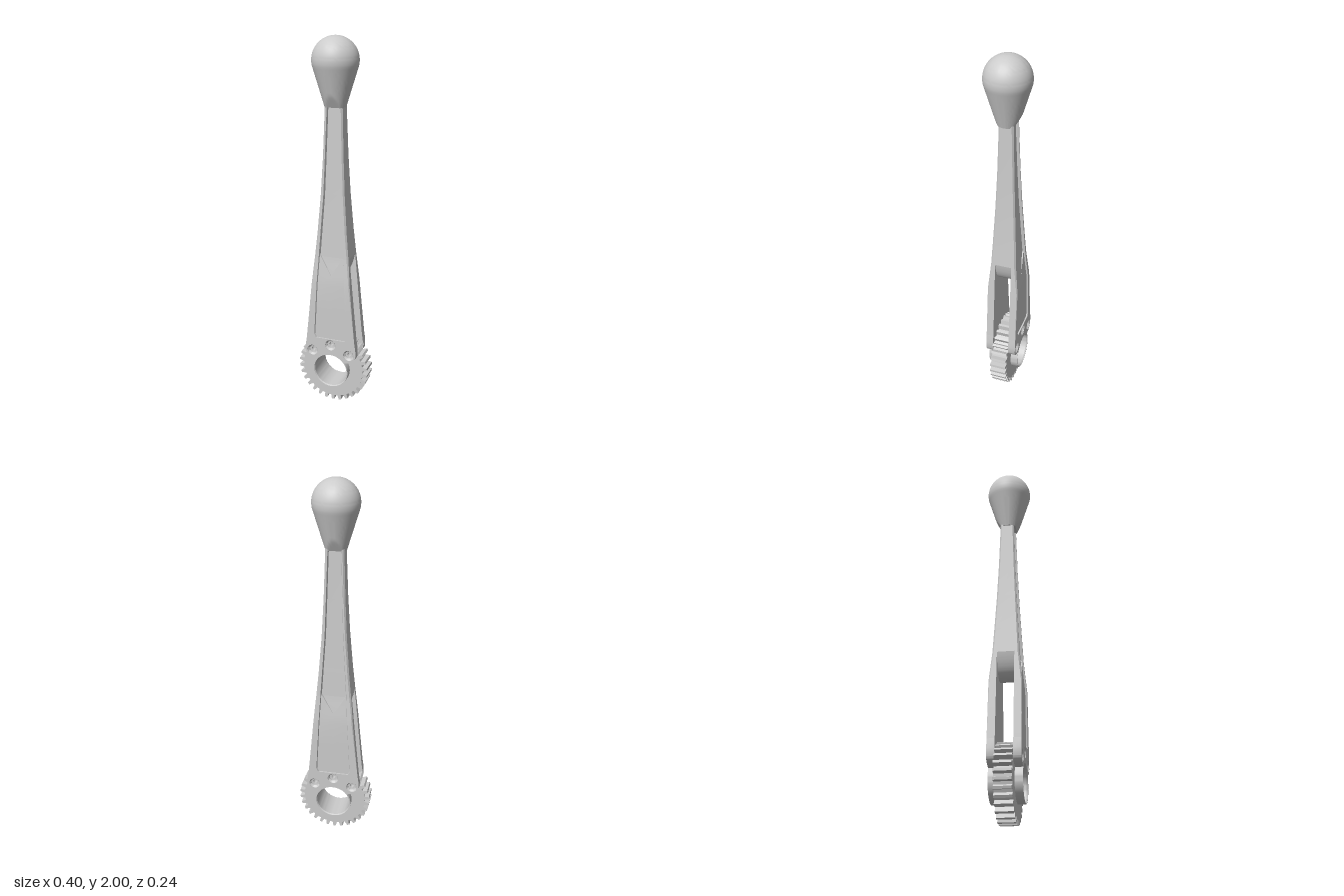
import * as THREE from 'three';
import { toCreasedNormals } from 'three/addons/utils/BufferGeometryUtils.js';

const material = new THREE.MeshStandardMaterial({ color: 0xcccccc, side: THREE.DoubleSide });
const HUB_Y = 0.2, HUB_R = 0.1, INNER = 0.045, OUTER = 0.085;

function add(parent, name, geometry, crease = 0.5) {
  const mesh = new THREE.Mesh(toCreasedNormals(geometry, crease), material);
  mesh.name = name;
  parent.add(mesh);
  return mesh;
}

// Linear interpolation in a table of [y, value]
function at(table, y) {
  let i = 1;
  while (i < table.length - 1 && table[i][0] < y) i++;
  const [y0, v0] = table[i - 1], [y1, v1] = table[i];
  return v0 + (v1 - v0) * THREE.MathUtils.clamp((y - y0) / (y1 - y0), 0, 1);
}

// Arm dimensions along its height
const WIDTH = [[0.39, 0.138], [0.6, 0.118], [0.8, 0.1], [1.0, 0.081], [1.2, 0.066], [1.4, 0.056], [1.68, 0.047]];
const DEPTH = [[0.7, OUTER], [0.86, 0.07], [1.0, 0.063], [1.2, 0.053], [1.4, 0.045], [1.68, 0.037]];
const PANEL = [[0.39, 0.085], [0.41, 0.094], [0.87, 0.07], [1.2, 0.049], [1.68, 0.034]];
const CHAMFER = [[0.39, 0], [0.86, 0.008]];
const FLUTE = [[0.76, 0], [0.87, 1]];

// Front contour at height y: chamfered edges, shallow pocket, deeper flute
function frontContour(y) {
  const w = at(WIDTH, y), d = at(DEPTH, y), p = at(PANEL, y), c = at(CHAMFER, y);
  const q = (p - 0.003) * at(FLUTE, y);
  const half = [[w, d - c], [w - c, d], [p, d], [p - 0.003, d - 0.008], [q, d - 0.008], [q * 0.97, d - 0.014 * (q > 0) - 0.008 * (q === 0)]];
  return [...half.map(([x, z]) => [-x, z]), ...half.reverse()];
}

// Skin a stack of horizontal rings
function loft(heights, ringAt) {
  const positions = [], index = [];
  const n = ringAt(heights[0]).length;
  heights.forEach((y, r) => {
    ringAt(y).forEach(([x, z]) => positions.push(x, y, z));
    if (r === 0) return;
    for (let i = 0; i < n; i++) {
      const a = (r - 1) * n + i, b = (r - 1) * n + (i + 1) % n;
      index.push(a, b, b + n, a, b + n, a + n);
    }
  });
  const g = new THREE.BufferGeometry();
  g.setAttribute('position', new THREE.Float32BufferAttribute(positions, 3));
  g.setIndex(index);
  return g;
}

function extrude(shape, z0, z1) {
  return new THREE.ExtrudeGeometry(shape, { depth: z1 - z0, bevelEnabled: false, curveSegments: 32 }).translate(0, 0, z0);
}

function circle(x, y, r) {
  return new THREE.Path().absarc(x, y, r, 0, Math.PI * 2, true);
}

function lathe(points, segments) {
  return new THREE.LatheGeometry(points.map(([x, y]) => new THREE.Vector2(x, y)), segments);
}

// One fork plate with its pocket, hub pad and screws
function makePlate() {
  const plate = new THREE.Group();
  plate.name = 'forkPlate';
  add(plate, 'plate', loft([0.39, 0.41, 0.55, 0.7, 0.76, 0.82, 0.86], y => {
    const w = at(WIDTH, y);
    return [...frontContour(y), [w, INNER], [-w, INNER]];
  }), 0.2);

  const screws = [[-0.105, 0.31], [0, 0.355], [0.105, 0.31]];
  const a = Math.atan2(0.06, 0.08);
  const pad = new THREE.Shape();
  pad.moveTo(-0.138, 0.39);
  pad.lineTo(-0.145, 0.34);
  pad.lineTo(-0.145, 0.305);
  pad.quadraticCurveTo(-0.14, 0.268, -0.08, 0.26);
  pad.absarc(0, HUB_Y, HUB_R, Math.PI - a, a, true);
  pad.quadraticCurveTo(0.14, 0.268, 0.145, 0.305);
  pad.lineTo(0.145, 0.34);
  pad.lineTo(0.138, 0.39);
  pad.closePath();
  screws.forEach(([x, y]) => pad.holes.push(circle(x, y, 0.03)));
  add(plate, 'hubPad', extrude(pad, INNER, OUTER));

  screws.forEach(([x, y]) => {
    const g = lathe([[0.031, 0.0845], [0.022, 0.074], [0.022, 0.068], [0.011, 0.066], [0.011, INNER]], 24);
    add(plate, 'screw', g.rotateX(Math.PI / 2)).position.set(x, y, 0);
  });
  return plate;
}

function makeGear() {
  const teeth = 30, root = 0.174, tip = 0.2, step = Math.PI * 2 / teeth;
  const shape = new THREE.Shape();
  for (let i = 0; i < teeth; i++) {
    [[-0.3, root], [-0.16, tip], [0.16, tip], [0.3, root]].forEach(([t, r], k) => {
      const angle = (i + t) * step - Math.PI / 2;
      const x = Math.cos(angle) * r, y = HUB_Y + Math.sin(angle) * r;
      if (i + k === 0) shape.moveTo(x, y);
      else shape.lineTo(x, y);
    });
  }
  shape.closePath();
  shape.holes.push(circle(0, HUB_Y, HUB_R));
  return extrude(shape, -INNER, INNER);
}

// Round knob on a cone, its foot trimmed by sloping planes front and back
function makeKnob() {
  const points = [[0, 1.65]];
  for (let i = 0; i <= 16; i++) {
    const t = i / 16;
    points.push([0.055 + 0.0624 * t, 1.65 + 0.205 * t]);
  }
  for (let i = 1; i <= 24; i++) {
    const angle = THREE.MathUtils.lerp(-0.21, Math.PI / 2, i / 24);
    points.push([0.12 * Math.cos(angle), 1.88 + 0.12 * Math.sin(angle)]);
  }
  const g = lathe(points, 64);
  const p = g.attributes.position;
  for (let i = 0; i < p.count; i++) {
    const limit = 0.04 + 0.55 * (p.getY(i) - 1.65);
    if (p.getY(i) < 1.72) p.setZ(i, THREE.MathUtils.clamp(p.getZ(i), -limit, limit));
  }
  return g;
}

export function createModel() {
  const model = new THREE.Group();
  model.name = 'lever';
  const arm = new THREE.Group();
  arm.name = 'arm';
  arm.position.z = -0.005;
  model.add(arm);

  // Solid upper shaft
  add(arm, 'shaft', loft([0.86, 0.87, 1.0, 1.2, 1.4, 1.68], y => {
    const front = frontContour(y);
    return [...front, ...front.map(([x, z]) => [-x, -z])];
  }), 0.2);

  // Scooped end of the slot between the plates
  const w = at(WIDTH, 0.86);
  const web = new THREE.Shape();
  web.moveTo(-w, 0.86);
  web.quadraticCurveTo(-0.07, 0.73, 0, 0.73);
  web.quadraticCurveTo(0.07, 0.73, w, 0.86);
  web.closePath();
  add(arm, 'slotEnd', extrude(web, -0.0455, 0.0455));

  // Fork plates, front and back
  [0, Math.PI].forEach(turn => {
    const plate = makePlate();
    plate.rotation.y = turn;
    arm.add(plate);
  });

  // Gear and the collar through it
  add(arm, 'gear', makeGear(), 0.3);
  const ring = [[0.092, -0.078], [0.096, -OUTER], [HUB_R, -OUTER], [HUB_R, OUTER], [0.096, OUTER], [0.092, 0.078], [0.092, -0.078]];
  add(arm, 'collar', lathe(ring, 64).rotateX(Math.PI / 2)).position.y = HUB_Y;

  add(model, 'knob', makeKnob());
  return model;
}
